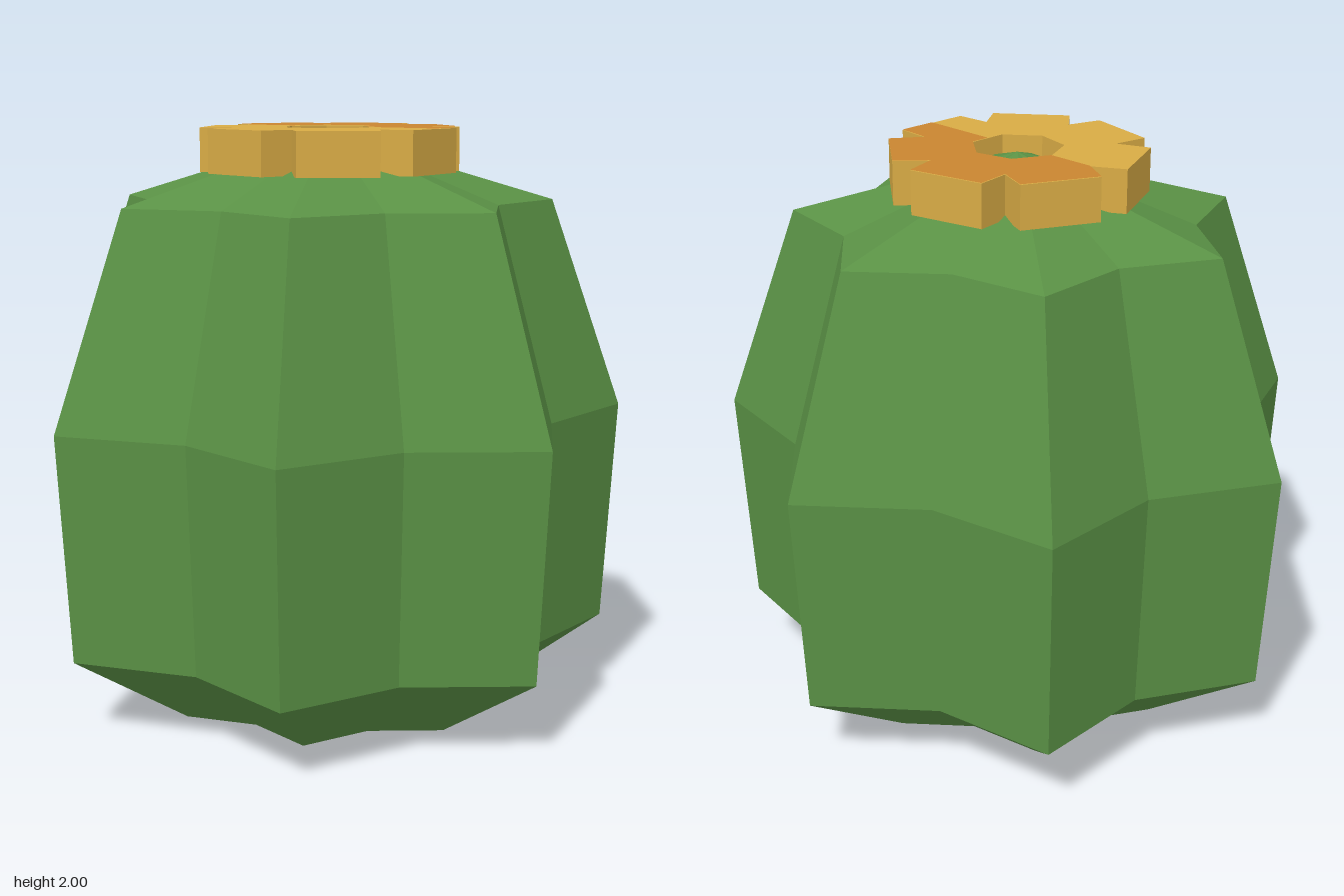
import * as THREE from 'three';

const green = new THREE.MeshStandardMaterial({ color: 0x5a9145 });
green.name = 'stem green';
const yellow = new THREE.MeshStandardMaterial({ color: 0xd8ab45 });
yellow.name = 'flower yellow';
const orange = new THREE.MeshStandardMaterial({ color: 0xc98530 });
orange.name = 'flower orange';

const RIBS = 7;
const STEP = (2 * Math.PI) / RIBS;
const CENTRE_Z = 0.05;
const polar = (r, a) => new THREE.Vector2(r * Math.cos(a), r * Math.sin(a));

function addMesh(group, name, geometry, material) {
  const mesh = new THREE.Mesh(geometry, material);
  mesh.name = name;
  group.add(mesh);
  return mesh;
}

// Seven-ribbed body: a 14-sided lathe with every second column drawn inwards
function bodyGeometry() {
  const profile = [[0, 0], [0.564, 0], [0.974, 0.26], [1.0205, 1.03], [0.769, 1.75], [0, 1.98]]
    .map(([r, y]) => new THREE.Vector2(r, y));
  const lathe = new THREE.LatheGeometry(profile, RIBS * 2);
  const p = lathe.attributes.position;
  for (let i = 0; i < p.count; i++) {
    const column = Math.floor(i / profile.length);
    if (column % 2 === 0) p.setXYZ(i, p.getX(i) * 0.78, p.getY(i), p.getZ(i) * 0.78);
  }
  const flat = lathe.toNonIndexed();
  flat.computeVertexNormals();
  return flat;
}

// Petal outline: flat-ended petals with a V notch between neighbours
function petalOutline() {
  const points = [];
  for (let i = 0; i < RIBS; i++) {
    const a = i * STEP;
    points.push(polar(0.441, a - 0.311), polar(0.441, a + 0.311), polar(0.33, a + STEP / 2));
  }
  return points;
}

function holeOutline() {
  return Array.from({ length: RIBS }, (_, i) => polar(0.157, (i + 0.5) * STEP));
}

export function createModel() {
  const model = new THREE.Group();
  model.name = 'cactus';

  addMesh(model, 'ribbedBody', bodyGeometry(), green).position.z = CENTRE_Z;

  // Flower ring
  const ring = new THREE.Shape(petalOutline());
  ring.holes.push(new THREE.Path(holeOutline()));
  const ringGeometry = new THREE.ExtrudeGeometry(ring, { depth: 0.148, bevelEnabled: false });
  ringGeometry.rotateX(-Math.PI / 2);
  addMesh(model, 'flowerRing', ringGeometry, yellow).position.set(0, 1.85, CENTRE_Z);

  // Orange face on the rear half of the flower
  const rear = (v) => v.y > 0.001;
  const half = new THREE.Shape([
    new THREE.Vector2(0.441 * Math.cos(0.311), 0),
    ...petalOutline().filter(rear),
    new THREE.Vector2(-0.33, 0),
    new THREE.Vector2(-0.157, 0),
    ...holeOutline().filter(rear).reverse(),
    new THREE.Vector2(0.157 * Math.cos(STEP / 2), 0),
  ]);
  const halfGeometry = new THREE.ShapeGeometry(half);
  halfGeometry.rotateX(-Math.PI / 2);
  addMesh(model, 'flowerRearFace', halfGeometry, orange).position.set(0, 2, CENTRE_Z);

  return model;
}
